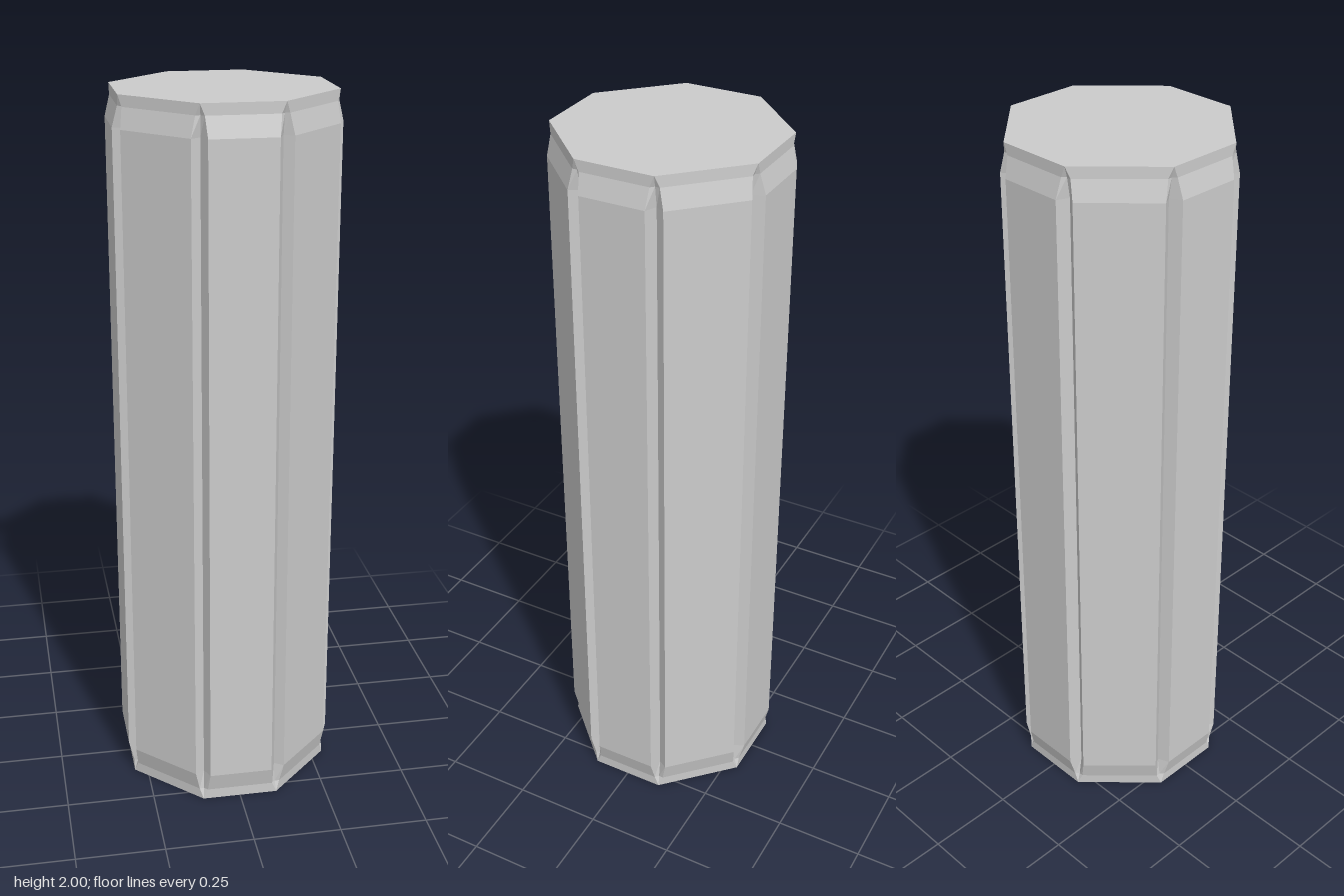
import * as THREE from 'three';

// Corner profile as [x, z]: square panel edge, groove bottom, diagonal panel edge
const CAP = [[0.108, 0.288], [0.108, 0.288], [0.108, 0.288]];
const NECK = [[0.0955, 0.288], [0.105, 0.278], [0.118, 0.279]];
const BODY = [[0.09, 0.302], [0.104, 0.269], [0.13, 0.285]];

// Mirrors one corner across the diagonal, then turns the pair through four quarters
function ring(corner, y) {
  const pair = [...corner, ...corner.map(([x, z]) => [z, x]).reverse()];
  const points = [];
  for (let q = 0; q < 4; q++) {
    for (let [x, z] of pair) {
      for (let k = 0; k < q; k++) [x, z] = [z, -x];
      points.push(new THREE.Vector3(x, y, z));
    }
  }
  return points;
}

function columnGeometry() {
  const rings = [
    ring(CAP, 0), ring(NECK, 0.03), ring(BODY, 0.085),
    ring(BODY, 1.915), ring(NECK, 1.97), ring(CAP, 2),
  ];
  const positions = [];
  const tri = (a, b, c) => {
    if (new THREE.Triangle(a, b, c).getArea() < 1e-7) return;
    for (const p of [a, b, c]) positions.push(p.x, p.y, p.z);
  };

  // Sides: panels, bevelled ends and the grooves between them
  const n = rings[0].length;
  for (let r = 0; r < rings.length - 1; r++) {
    const low = rings[r], high = rings[r + 1];
    for (let i = 0; i < n; i++) {
      const j = (i + 1) % n;
      tri(low[i], low[j], high[j]);
      tri(low[i], high[j], high[i]);
    }
  }

  // Flat ends
  const bottom = new THREE.Vector3(0, 0, 0), top = new THREE.Vector3(0, 2, 0);
  for (let i = 0; i < n; i++) {
    const j = (i + 1) % n;
    tri(bottom, rings[0][j], rings[0][i]);
    tri(top, rings[5][i], rings[5][j]);
  }

  const geometry = new THREE.BufferGeometry();
  geometry.setAttribute('position', new THREE.Float32BufferAttribute(positions, 3));
  geometry.computeVertexNormals();
  return geometry;
}

export function createModel() {
  const group = new THREE.Group();
  group.name = 'octagonalColumn';
  const material = new THREE.MeshStandardMaterial({ color: 0xcccccc, flatShading: true });
  const column = new THREE.Mesh(columnGeometry(), material);
  column.name = 'panelledShaft';
  group.add(column);
  return group;
}
